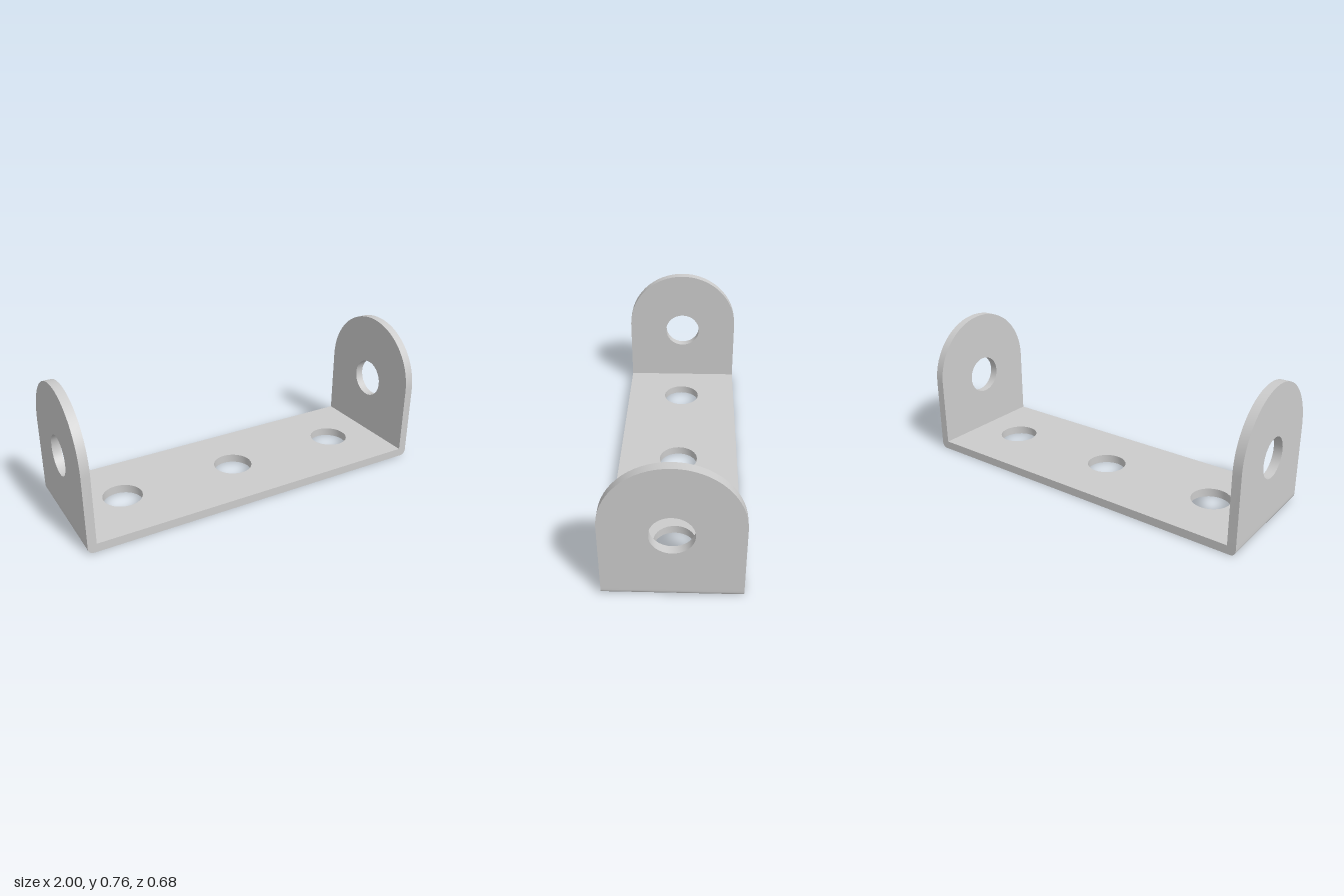
import * as THREE from 'three';
import { toCreasedNormals } from 'three/addons/utils/BufferGeometryUtils.js';

const T = 0.047;        // sheet thickness
const W = 0.34;         // half width, also the ear radius
const H = 0.765;        // overall height
const HOLE = 0.108;     // hole radius
const BEND = 0.03;      // outer bend radius

const material = new THREE.MeshStandardMaterial({ color: 0xcccccc });

function circleHole(x, y) {
  return new THREE.Path().absarc(x, y, HOLE, 0, Math.PI * 2, true);
}

function extrude(shape, depth, curveSegments = 16) {
  const geometry = new THREE.ExtrudeGeometry(shape, { depth, curveSegments, bevelEnabled: false });
  return toCreasedNormals(geometry, 0.5);
}

function addMesh(parent, name, geometry) {
  const mesh = new THREE.Mesh(geometry, material);
  mesh.name = name;
  parent.add(mesh);
}

export function createModel() {
  const bracket = new THREE.Group();
  bracket.name = 'uBracket';

  // Base plate with three holes
  const L = 1 - T;
  const base = new THREE.Shape([
    new THREE.Vector2(-L, -W), new THREE.Vector2(L, -W),
    new THREE.Vector2(L, W), new THREE.Vector2(-L, W),
  ]);
  for (const x of [-0.68, 0, 0.68]) base.holes.push(circleHole(x, 0));
  addMesh(bracket, 'basePlate', extrude(base, T).rotateX(-Math.PI / 2));

  // Round-topped ear with one hole
  const ear = new THREE.Shape();
  ear.moveTo(-W, T);
  ear.lineTo(W, T);
  ear.absarc(0, H - W, W, 0, Math.PI, false);
  ear.closePath();
  ear.holes.push(circleHole(0, 0.383));
  const earGeometry = extrude(ear, T).rotateY(Math.PI / 2).translate(L, 0, 0);

  // Bend joining ear and base, rounded on the outside
  const bend = new THREE.Shape();
  bend.moveTo(L, T);
  bend.lineTo(L, 0);
  bend.lineTo(1 - BEND, 0);
  bend.absarc(1 - BEND, BEND, BEND, -Math.PI / 2, 0, false);
  bend.lineTo(1, T);
  bend.closePath();
  const bendGeometry = extrude(bend, 2 * W, 5).translate(0, 0, -W);

  for (const [side, angle] of [['left', 0], ['right', Math.PI]]) {
    const end = new THREE.Group();
    end.name = side + 'End';
    end.rotation.y = angle;
    addMesh(end, side + 'Ear', earGeometry);
    addMesh(end, side + 'Bend', bendGeometry);
    bracket.add(end);
  }
  return bracket;
}
